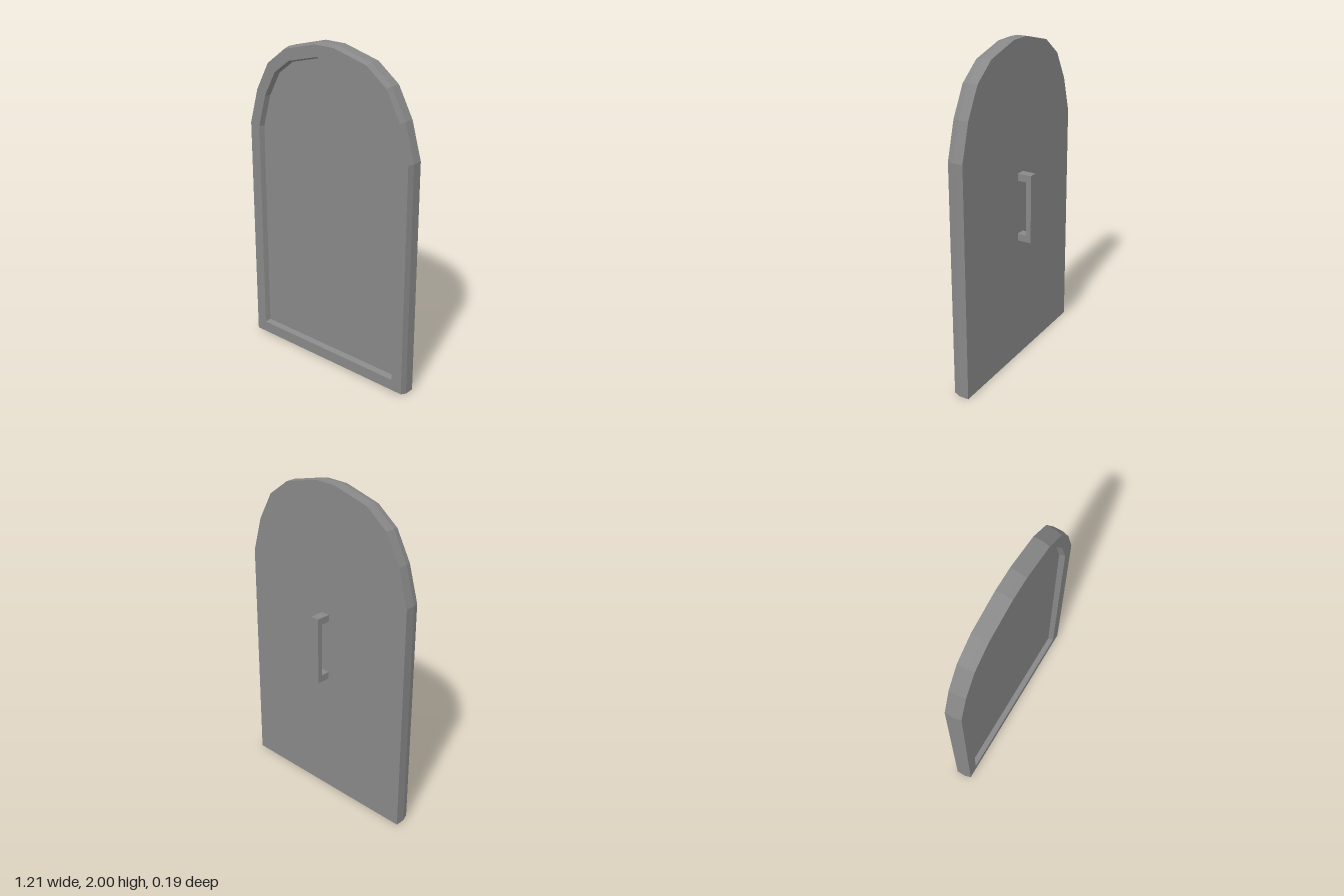
import * as THREE from 'three';

const material = new THREE.MeshStandardMaterial({ color: 0x888888, flatShading: true });

// Right half of the arched outline, bottom to top; mirrored to close the loop
const half = [[0.605, 0], [0.605, 1.44], [0.541, 1.66], [0.445, 1.835], [0.305, 1.94], [0.07, 2]];
const outline = [...half, ...half.map(([x, y]) => [-x, y]).reverse()]
  .map(([x, y]) => new THREE.Vector2(x, y));

// Outline moved inwards by d with mitred corners, placed at depth z
function ring(d, z) {
  const n = outline.length;
  return outline.map((p, i) => {
    const e1 = p.clone().sub(outline[(i + n - 1) % n]).normalize();
    const e2 = outline[(i + 1) % n].clone().sub(p).normalize();
    const n1 = new THREE.Vector2(-e1.y, e1.x);
    const n2 = new THREE.Vector2(-e2.y, e2.x);
    const k = d / (1 + n1.dot(n2));
    return new THREE.Vector3(p.x + (n1.x + n2.x) * k, p.y + (n1.y + n2.y) * k, z);
  });
}

// Skin successive rings and close both ends
function skin(rings) {
  const pos = [];
  const tri = (...pts) => pts.forEach((p) => pos.push(p.x, p.y, p.z));
  const n = outline.length;
  for (let r = 0; r < rings.length - 1; r++) {
    const a = rings[r], b = rings[r + 1];
    for (let i = 0; i < n; i++) {
      const j = (i + 1) % n;
      tri(a[i], a[j], b[j]);
      tri(a[i], b[j], b[i]);
    }
  }
  const back = rings[0], floor = rings[rings.length - 1];
  for (let i = 1; i < n - 1; i++) {
    tri(back[0], back[i + 1], back[i]);
    tri(floor[0], floor[i], floor[i + 1]);
  }
  const geo = new THREE.BufferGeometry();
  geo.setAttribute('position', new THREE.Float32BufferAttribute(pos, 3));
  geo.computeVertexNormals();
  return geo;
}

export function createModel() {
  const group = new THREE.Group();
  group.name = 'archedShield';

  // Slab: back, side, bevelled rim, raised border, recessed panel
  const slab = new THREE.Mesh(skin([
    ring(0, -0.005), ring(0, 0.055), ring(0.01, 0.093), ring(0.08, 0.093), ring(0.09, 0.06),
  ]), material);
  slab.name = 'archedPanel';
  group.add(slab);

  // Bracket handle on the back, drawn in side profile (depth, height)
  const profile = new THREE.Shape([
    [-0.005, 0.787], [-0.005, 0.831], [-0.06, 0.831], [-0.06, 1.168],
    [-0.005, 1.168], [-0.005, 1.212], [-0.093, 1.212], [-0.093, 0.787],
  ].map(([z, y]) => new THREE.Vector2(z, y)));
  const width = 0.056;
  const handleGeo = new THREE.ExtrudeGeometry(profile, { depth: width, bevelEnabled: false });
  handleGeo.translate(0, 0, -width / 2).rotateY(-Math.PI / 2);
  const handle = new THREE.Mesh(handleGeo, material);
  handle.name = 'handle';
  group.add(handle);

  return group;
}
